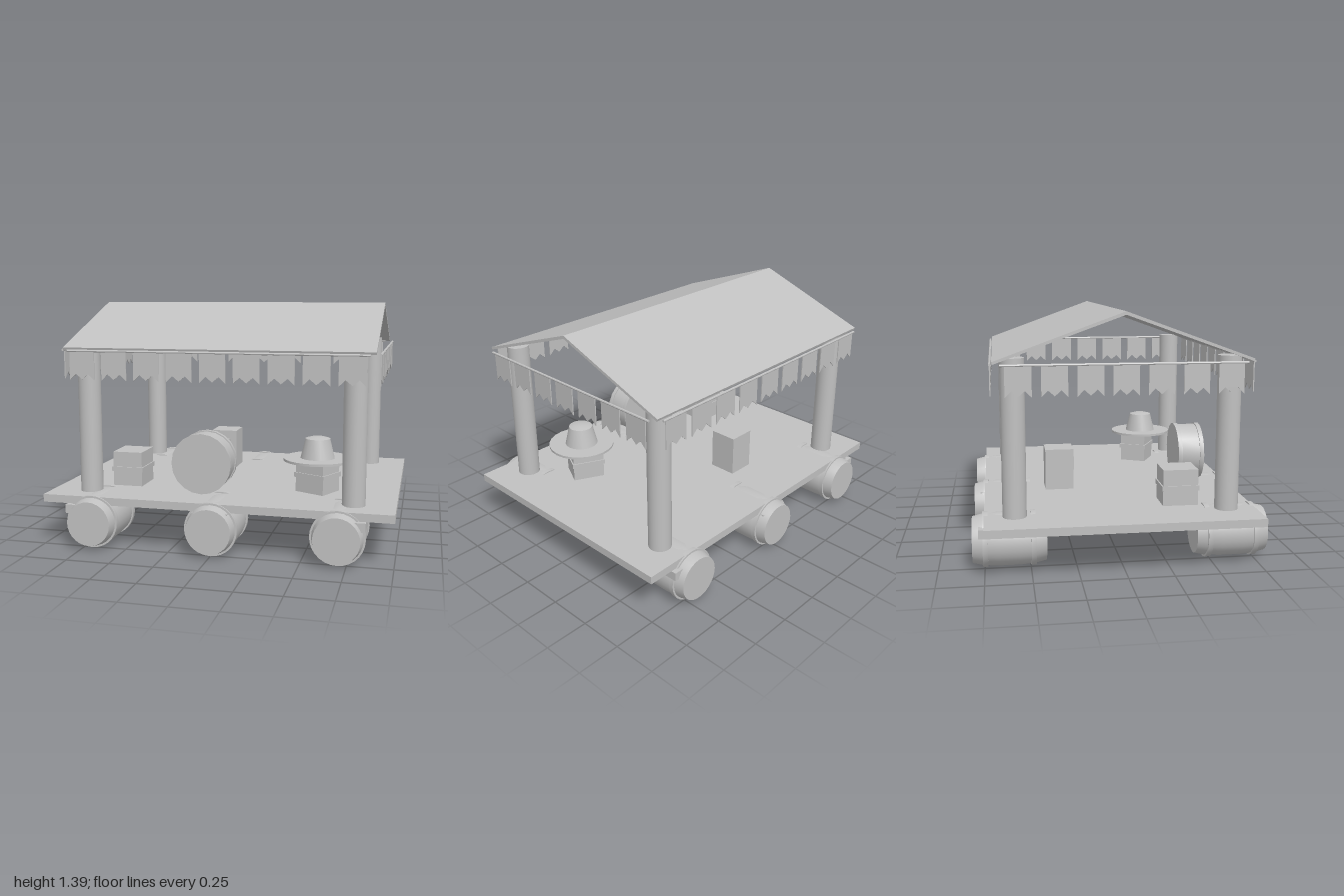
import * as THREE from 'three';
import { toCreasedNormals } from 'three/addons/utils/BufferGeometryUtils.js';

const DECK = 0.295;

export function createModel() {
  const root = new THREE.Group();
  const grey = new THREE.MeshStandardMaterial({ color: 0xc0c0c0 });

  const add = (name, geo, x = 0, y = 0, z = 0, parent = root) => {
    const m = new THREE.Mesh(toCreasedNormals(geo, 0.5), grey);
    m.name = name;
    m.position.set(x, y, z);
    parent.add(m);
    return m;
  };
  const group = (name, x = 0, y = 0, z = 0, parent = root) => {
    const g = new THREE.Group();
    g.name = name;
    g.position.set(x, y, z);
    parent.add(g);
    return g;
  };
  const box = (w, h, d) => new THREE.BoxGeometry(w, h, d);
  const lathe = (pts, n) => new THREE.LatheGeometry(pts.map(p => new THREE.Vector2(...p)), n);

  // Deck and cross beams
  add('deck', box(2, 0.045, 1.5), 0, DECK - 0.0225, 0);
  for (const x of [-0.75, 0, 0.75]) add('crossBeam', box(0.2, 0.05, 1.56), x, 0.225, 0);

  // Floating barrels, lying along z
  const barrelGeo = lathe([[0, -0.2], [0.127, -0.2], [0.141, -0.14], [0.147, -0.06],
    [0.147, 0.06], [0.141, 0.14], [0.127, 0.2], [0, 0.2]], 28).rotateX(Math.PI / 2);
  const hoopGeo = lathe([[0.13, -0.014], [0.151, -0.014], [0.151, 0.014], [0.13, 0.014]], 28)
    .rotateX(Math.PI / 2);
  for (const x of [-0.7, 0, 0.7]) {
    for (const s of [1, -1]) {
      const barrel = group('barrel', x, 0.152, s * 0.615);
      add('barrelBody', barrelGeo, 0, 0, 0, barrel);
      for (const z of [-0.13, 0.13]) add('barrelHoop', hoopGeo, 0, 0, z, barrel);
    }
  }

  // Corner posts
  for (const x of [-0.768, 0.768]) {
    for (const z of [-0.585, 0.585]) {
      add('post', new THREE.CylinderGeometry(0.065, 0.065, 0.86, 24), x, DECK + 0.425, z);
    }
  }

  // Gabled roof: a thin chevron drawn out along x
  const chevron = new THREE.Shape([[-0.685, 1.125], [0, 1.372], [0.685, 1.125],
    [0.69, 1.139], [0, 1.39], [-0.69, 1.139]].map(p => new THREE.Vector2(...p)));
  add('roof', new THREE.ExtrudeGeometry(chevron, { depth: 1.76, bevelEnabled: false })
    .translate(0, 0, -0.88).rotateY(Math.PI / 2));

  // Bunting: a cord with three-pointed flags
  const flagGeo = w => {
    const h = w / 2;
    const s = new THREE.Shape([[-h, 0], [-h, -0.165], [-h / 2, -0.13], [0, -0.16],
      [h / 2, -0.13], [h, -0.165], [h, 0]].map(p => new THREE.Vector2(...p)));
    return new THREE.ExtrudeGeometry(s, { depth: 0.006, bevelEnabled: false }).translate(0, 0, -0.003);
  };
  const bunting = (name, x, z, turn, length, count, step, width) => {
    const g = group(name, x, 1.122, z);
    g.rotation.y = turn;
    add('cord', new THREE.CylinderGeometry(0.007, 0.007, length, 8).rotateZ(Math.PI / 2), 0, 0, 0, g);
    for (let i = 0; i < count; i++) add('flag', flagGeo(width), (i - (count - 1) / 2) * step, 0, 0, g);
  };
  bunting('frontBunting', 0, 0.7, 0, 1.7, 9, 0.19, 0.147);
  bunting('backBunting', 0, -0.7, Math.PI, 1.7, 9, 0.19, 0.147);
  bunting('leftBunting', 0.9, 0, Math.PI / 2, 1.3, 7, 0.186, 0.138);
  bunting('rightBunting', -0.9, 0, -Math.PI / 2, 1.3, 7, 0.186, 0.138);

  // Drum standing on its side
  const drum = group('drum', -0.1, 0.48, 0.51);
  add('drumShell', new THREE.CylinderGeometry(0.168, 0.168, 0.15, 20).rotateX(Math.PI / 2), 0, 0, 0, drum);
  for (const z of [-0.067, 0.067]) {
    add('drumRim', new THREE.CylinderGeometry(0.175, 0.175, 0.025, 20).rotateX(Math.PI / 2), 0, 0, z, drum);
  }

  // Banded chests
  const chest = (name, x, z, w, h, d, turn) => {
    const g = group(name, x, DECK, z);
    g.rotation.y = turn;
    add('chestBody', box(w, h, d), 0, h / 2, 0, g);
    add('chestBand', box(w + 0.014, 0.028, d + 0.014), 0, 0.1, 0, g);
  };
  chest('sideChest', -0.6, 0.345, 0.18, 0.205, 0.2, 0);
  chest('hatChest', 0.53, 0.31, 0.19, 0.19, 0.17, -0.46);

  // Wide-brimmed hat on a chest
  const hat = group('hat', 0.533, 0.485, 0.335);
  add('hatBrim', new THREE.CylinderGeometry(0.2, 0.2, 0.014, 24), 0, 0.007, 0, hat);
  add('hatCrown', lathe([[0.1, 0.012], [0.072, 0.128], [0.04, 0.137], [0, 0.14]], 20), 0, 0, 0, hat);

  // Cabinet at the back with a small front plate
  add('cabinet', box(0.165, 0.245, 0.17), -0.168, DECK + 0.1225, -0.3);
  add('cabinetPlate', box(0.08, 0.08, 0.008), -0.168, 0.445, -0.211);

  return root;
}
